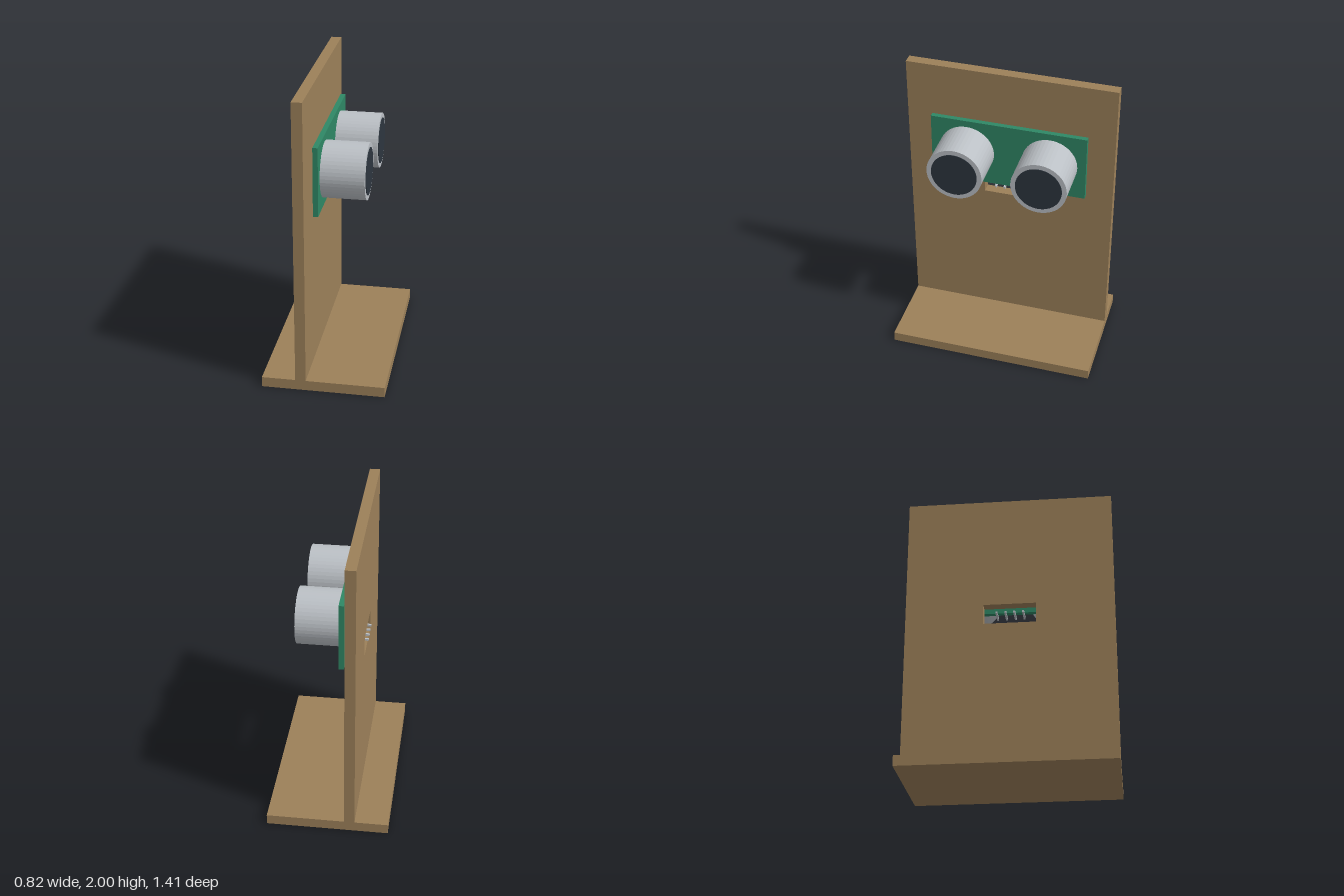
import * as THREE from 'three';

const material = (name, color, flatShading = false) => {
  const m = new THREE.MeshStandardMaterial({ color, flatShading });
  m.name = name;
  return m;
};

export function createModel() {
  const wood = material('wood', 0x9c8059);
  const green = material('boardGreen', 0x2f8765);
  const silver = material('silver', 0xbbc0c5, true);
  const dark = material('darkMesh', 0x2d363f);

  const model = new THREE.Group();
  model.name = 'sensorStand';

  const add = (name, geometry, mat, x, y, z) => {
    const mesh = new THREE.Mesh(geometry, mat);
    mesh.name = name;
    mesh.position.set(x, y, z);
    model.add(mesh);
    return mesh;
  };

  // Flat wooden foot
  add('base', new THREE.BoxGeometry(0.82, 0.07, 1.41), wood, 0, 0.035, 0);

  // Upright panel with a slot for the pins
  const outline = new THREE.Shape([
    new THREE.Vector2(-0.705, 0.07), new THREE.Vector2(0.705, 0.07),
    new THREE.Vector2(0.705, 2), new THREE.Vector2(-0.705, 2),
  ]);
  outline.holes.push(new THREE.Path([
    new THREE.Vector2(-0.178, 1.06), new THREE.Vector2(-0.178, 1.2),
    new THREE.Vector2(0.178, 1.2), new THREE.Vector2(0.178, 1.06),
  ]));
  const panelGeometry = new THREE.ExtrudeGeometry(outline, { depth: 0.07, bevelEnabled: false });
  panelGeometry.rotateY(Math.PI / 2);
  add('panel', panelGeometry, wood, -0.185, 0, 0);

  // Circuit board
  add('circuitBoard', new THREE.BoxGeometry(0.034, 0.468, 1.056), green, -0.073, 1.412, 0);

  // Two sensor cans, each with a dark face
  const can = new THREE.CylinderGeometry(0.187, 0.187, 0.326, 48).rotateZ(-Math.PI / 2);
  const face = new THREE.CylinderGeometry(0.155, 0.155, 0.008, 48).rotateZ(-Math.PI / 2);
  for (const [side, z] of [['front', 0.283], ['back', -0.283]]) {
    add(side + 'SensorCan', can, silver, 0.069, 1.414, z);
    add(side + 'SensorFace', face, dark, 0.232, 1.414, z);
  }

  // Four pins reaching through the slot
  const pin = new THREE.BoxGeometry(0.118, 0.013, 0.013);
  for (let i = 0; i < 4; i++) {
    add('pin' + (i + 1), pin, silver, -0.143, 1.133, (i - 1.5) * 0.06 + 0.003);
  }

  return model;
}
